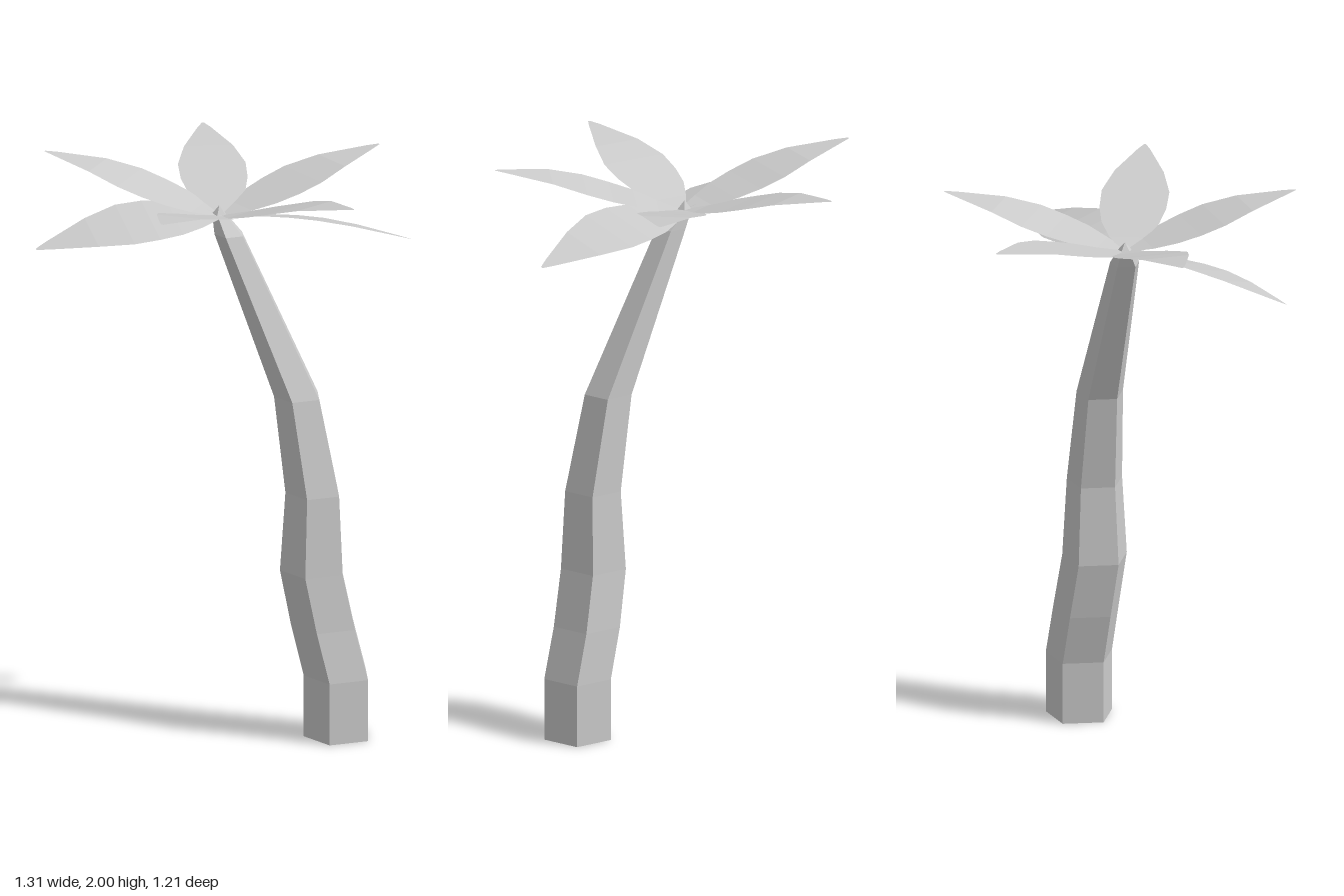
import * as THREE from 'three';

const SIDES = 5;

// Indexed surface from a flat list of positions and faces
function surface(name, positions, index, side) {
  const geometry = new THREE.BufferGeometry();
  geometry.setAttribute('position', new THREE.Float32BufferAttribute(positions, 3));
  geometry.setIndex(index);
  geometry.computeVertexNormals();
  const material = new THREE.MeshStandardMaterial({ color: 0xcccccc, flatShading: true, side });
  const mesh = new THREE.Mesh(geometry, material);
  mesh.name = name;
  return mesh;
}

// Five-sided bent trunk, lofted through rings of [x, y, z, radius]
function createTrunk() {
  const rings = [
    [0.42, 0, 0, 0.121],
    [0.42, 0.22, 0, 0.121],
    [0.376, 0.4, 0.007, 0.12],
    [0.338, 0.6, 0.022, 0.118],
    [0.34, 0.88, 0.022, 0.101],
    [0.281, 1.22, 0.015, 0.085],
    [0.03, 1.78, -0.005, 0.053],
    [-0.013, 1.845, -0.025, 0.025],
  ];
  const positions = [];
  const index = [];
  for (const [x, y, z, r] of rings) {
    for (let i = 0; i < SIDES; i++) {
      const a = (i / SIDES) * Math.PI * 2;
      positions.push(x + r * Math.sin(a), y, z + r * Math.cos(a));
    }
  }
  for (let k = 0; k < rings.length - 1; k++) {
    for (let i = 0; i < SIDES; i++) {
      const j = (i + 1) % SIDES;
      const a = k * SIDES + i, b = k * SIDES + j;
      index.push(a, b, b + SIDES, a, b + SIDES, a + SIDES);
    }
  }
  // Base cap and pointed crown
  const base = positions.length / 3;
  positions.push(0.42, 0, 0, -0.013, 1.875, -0.025);
  const top = (rings.length - 1) * SIDES;
  for (let i = 0; i < SIDES; i++) {
    const j = (i + 1) % SIDES;
    index.push(base, j, i, base + 1, top + i, top + j);
  }
  return surface('trunk', positions, index, THREE.FrontSide);
}

// Leaf stations: [distance along leaf, width, rise share, droop height]
const STATIONS = [
  [0, 0.03, 0, 1.84],
  [0.13, 0.13, 0.13, 1.843],
  [0.25, 0.2, 0.28, 1.846],
  [0.38, 0.232, 0.44, 1.845],
  [0.52, 0.235, 0.62, 1.838],
  [0.7, 0.17, 0.82, 1.82],
  [0.94, 0.045, 0.97, 1.786],
  [1, 0.008, 1, 1.777],
];

// Flat-faceted leaf from the crown to its tip; roll tilts it about its length
function createLeaf([tipX, tipY, tipZ, roll]) {
  const root = new THREE.Vector3(-0.005, 1.84, -0.02);
  const along = new THREE.Vector3(tipX - root.x, 0, tipZ - root.z);
  const across = new THREE.Vector3(along.z, 0, -along.x).normalize();
  const positions = [];
  const index = [];
  STATIONS.forEach(([t, width, rise, droop], k) => {
    const y = tipY > root.y ? root.y + (tipY - root.y) * rise : droop;
    for (const s of [-0.5, 0.5]) {
      positions.push(
        root.x + along.x * t + across.x * width * s,
        y + roll * width * s,
        root.z + along.z * t + across.z * width * s,
      );
    }
    if (k > 0) {
      const a = 2 * k - 2;
      index.push(a, a + 2, a + 3, a, a + 3, a + 1);
    }
  });
  return surface('leaf', positions, index, THREE.DoubleSide);
}

export function createModel() {
  const model = new THREE.Group();
  model.name = 'palmTree';
  model.add(createTrunk());

  // Crown of leaves: tip x, tip y, tip z, roll
  const leaves = [
    [-0.05, 1.987, 0.605, 0],
    [0.555, 2.0, 0.307, 0],
    [0.652, 1.777, -0.115, -0.26],
    [0.43, 1.988, -0.51, 0],
    [-0.225, 1.985, -0.607, 0],
    [-0.655, 2.0, -0.095, 0],
    [-0.573, 1.777, 0.332, -0.32],
  ];
  const crown = new THREE.Group();
  crown.name = 'crown';
  for (const leaf of leaves) crown.add(createLeaf(leaf));
  model.add(crown);
  return model;
}
